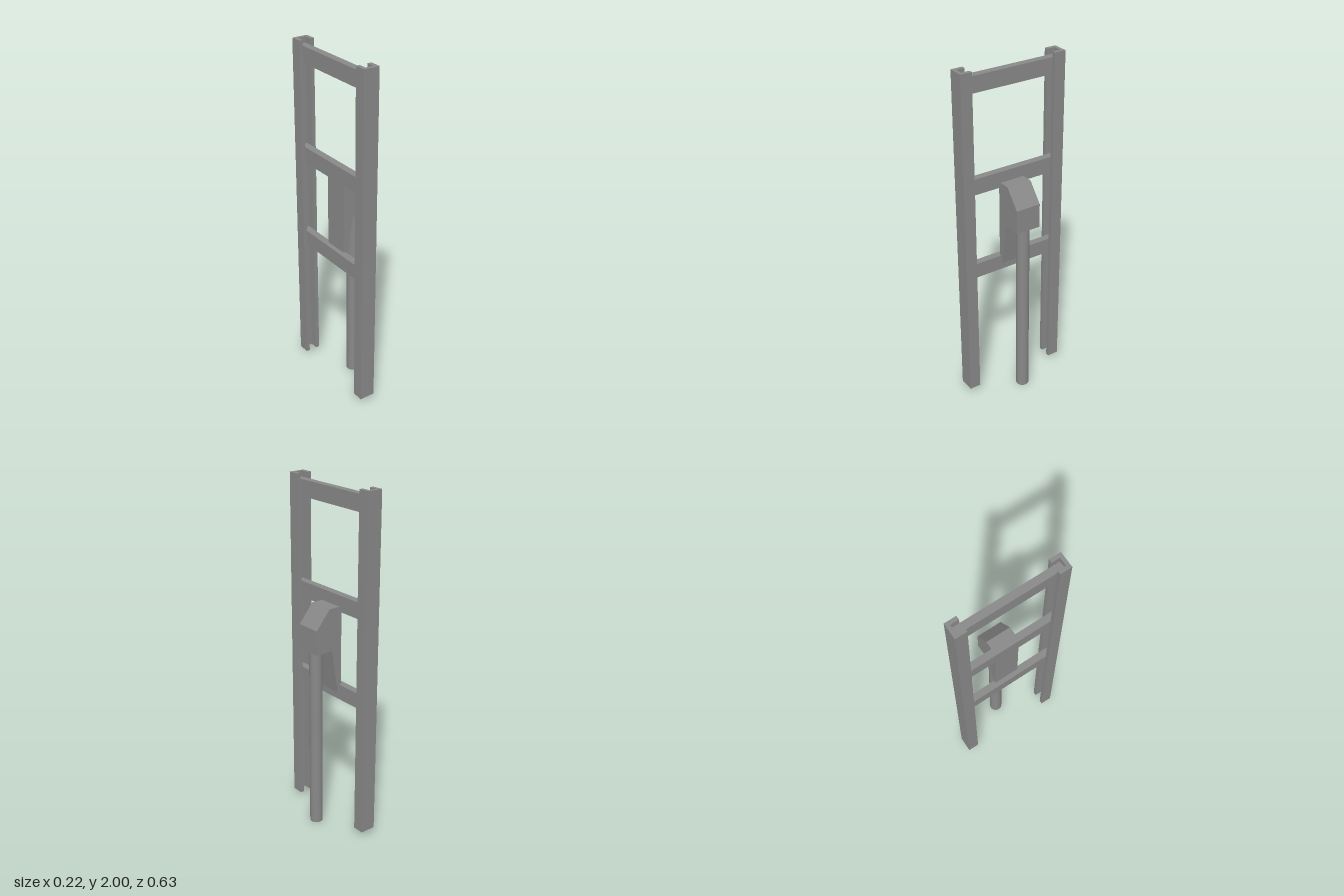
import * as THREE from 'three';

const grey = new THREE.MeshStandardMaterial({ color: 0x888888 });
const openGrey = new THREE.MeshStandardMaterial({ color: 0x888888, side: THREE.DoubleSide });

function extrude(points, depth) {
  const shape = new THREE.Shape(points.map(([x, y]) => new THREE.Vector2(x, y)));
  return new THREE.ExtrudeGeometry(shape, { depth, bevelEnabled: false });
}

export function createModel() {
  const model = new THREE.Group();
  const add = (name, geometry, x = 0, y = 0, z = 0, material = grey) => {
    const mesh = new THREE.Mesh(geometry, material);
    mesh.name = name;
    mesh.position.set(x, y, z);
    model.add(mesh);
  };

  // Two upright C-channel rails, open sides facing each other
  const channel = [
    [-0.111, 0.317], [-0.111, 0.25], [-0.089, 0.25], [-0.089, 0.297],
    [-0.042, 0.297], [-0.042, 0.25], [-0.02, 0.25], [-0.02, 0.317],
  ];
  for (const side of [1, -1]) {
    const outline = channel.map(([x, z]) => [x, -z * side]);
    const rail = extrude(outline, 1.966).rotateX(-Math.PI / 2);
    add(side > 0 ? 'frontRail' : 'backRail', rail, 0, 0.034, 0);
  }

  // Cross bars running between the rails
  const bars = [['upperCrossBar', 1.876, 1.968], ['middleCrossBar', 1.304, 1.397], ['lowerCrossBar', 0.784, 0.873]];
  for (const [name, bottom, top] of bars) {
    add(name, new THREE.BoxGeometry(0.042, top - bottom, 0.594), -0.066, (bottom + top) / 2, 0);
  }

  // Bracket: sloped head with a tapering back plate set into the bars
  const bracket = [
    [-0.06, 0.827], [-0.036, 0.827], [0.004, 1.087], [0.111, 1.087],
    [0.111, 1.227], [0.023, 1.332], [-0.06, 1.332],
  ];
  add('bracket', extrude(bracket, 0.148), 0, 0, -0.074);

  // Round hollow post under the bracket head, open at the bottom
  const post = new THREE.CylinderGeometry(0.037, 0.037, 1.087, 32, 1, true);
  add('post', post, 0.059, 0.5435, 0, openGrey);

  return model;
}
